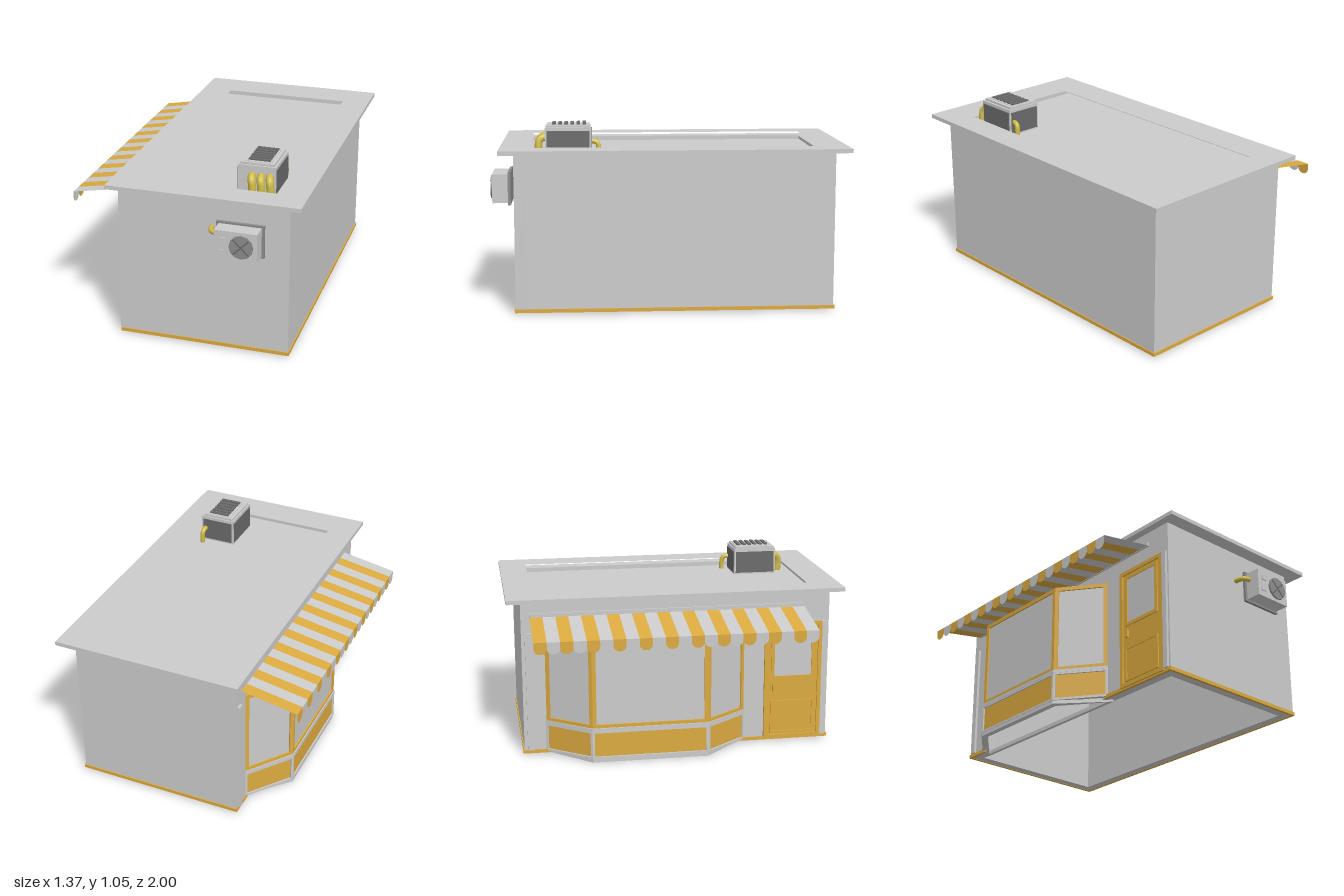
import * as THREE from 'three';

const mat = (color, side = THREE.FrontSide) => new THREE.MeshStandardMaterial({ color, side });
const GREY = mat(0xcccccc), DARK = mat(0x6a6a6a), MID = mat(0x8c8c8c);
const OCHRE = mat(0xdcaa40), BRASS = mat(0xd0bc45);

function add(parent, name, geo, material) {
  const m = new THREE.Mesh(geo, material);
  m.name = name;
  parent.add(m);
  return m;
}

// box given by its limits on each axis
function box(parent, name, material, x0, x1, y0, y1, z0, z1) {
  const m = add(parent, name, new THREE.BoxGeometry(x1 - x0, y1 - y0, z1 - z0), material);
  m.position.set((x0 + x1) / 2, (y0 + y1) / 2, (z0 + z1) / 2);
  return m;
}

const loop = (pts) => pts.map(([x, y]) => new THREE.Vector2(x, y));
const rect = (x0, x1, y0, y1) => [[x0, y0], [x1, y0], [x1, y1], [x0, y1]];

function extrude(outline, holes, depth) {
  const shape = new THREE.Shape(loop(outline));
  for (const h of holes) shape.holes.push(new THREE.Path(loop(h)));
  return new THREE.ExtrudeGeometry(shape, { depth, bevelEnabled: false });
}

// floor-plan outline of [x, z] points raised from y0 to y1
function plan(parent, name, material, outline, holes, y0, y1) {
  const flip = (pts) => pts.map(([x, z]) => [x, -z]);
  const geo = extrude(flip(outline), holes.map(flip), y1 - y0);
  geo.rotateX(-Math.PI / 2);
  return add(parent, name, geo.translate(0, y0, 0), material);
}

// framed panel standing between two plan points, facing outward
function framedPanel(parent, name, p, q, y0, y1, border, depth, frameMat, fillMat) {
  const dx = q[0] - p[0], dz = q[1] - p[1], w = Math.hypot(dx, dz);
  const g = new THREE.Group();
  g.name = name;
  g.position.set(p[0], 0, p[1]);
  g.rotation.y = Math.atan2(-dz, dx);
  const b = border;
  add(g, name + 'Frame', extrude(rect(0, w, y0, y1), [rect(b, w - b, y0 + b, y1 - b)], depth), frameMat)
    .position.z = -depth;
  box(g, name + 'Infill', fillMat, b, w - b, y0 + b, y1 - b, -depth * 0.8, -depth * 0.45);
  parent.add(g);
  return g;
}

function pipe(parent, name, pts, r) {
  const curve = new THREE.CatmullRomCurve3(pts.map((p) => new THREE.Vector3(...p)));
  return add(parent, name, new THREE.TubeGeometry(curve, 16, r, 12, false), mat(0xd0bc45, THREE.DoubleSide));
}

function buildBody(root) {
  const g = new THREE.Group();
  g.name = 'building';
  root.add(g);
  const t = 0.06, x0 = -0.355, x1 = 0.605, z0 = -0.92, z1 = 0.86;
  box(g, 'frontWall', GREY, x0, x1, 0.012, 0.9, z1 - t, z1);
  box(g, 'backWall', GREY, x0, x1, 0.012, 0.9, z0, z0 + t);
  box(g, 'plainSideWall', GREY, x1 - t, x1, 0.012, 0.9, z0 + t, z1 - t);
  // shop side wall, cut away behind the bay window
  const shopWall = [[z0 + t, 0.012], [-0.75, 0.012], [-0.75, 0.7], [0.32, 0.7], [0.32, 0.012],
    [z1 - t, 0.012], [z1 - t, 0.9], [z0 + t, 0.9]];
  const w = add(g, 'shopWall', extrude(shopWall, [], t), GREY);
  w.rotation.y = -Math.PI / 2;
  w.position.x = x0 + t;
  // skirting, interrupted at the bay
  const e = 0.006;
  box(g, 'frontSkirting', OCHRE, x0 - e, x1 + e, 0.01, 0.03, z1 - 0.01, z1 + e);
  box(g, 'backSkirting', OCHRE, x0 - e, x1 + e, 0.01, 0.03, z0 - e, z0 + 0.01);
  box(g, 'sideSkirting', OCHRE, x1 - 0.01, x1 + e, 0.01, 0.03, z0, z1);
  for (const [a, b] of [[z0, -0.77], [0.34, z1]])
    box(g, 'shopSkirting', OCHRE, x0 - e, x0 + 0.01, 0.01, 0.03, a, b);
  // overhanging roof rim around a sunken deck
  const well = rect(-0.24, 0.52, -0.84, 0.78);
  plan(g, 'roofRim', GREY, rect(-0.4, 0.68, -1, 0.94), [well], 0.9, 0.923);
  plan(g, 'parapetLining', GREY, rect(x0 + 0.02, x1 - 0.02, z0 + 0.02, z1 - 0.02), [well], 0.86, 0.901);
  box(g, 'roofDeck', GREY, x0 + 0.03, x1 - 0.03, 0.85, 0.87, z0 + 0.03, z1 - 0.03);
}

function buildShopfront(root) {
  const g = new THREE.Group();
  g.name = 'shopfront';
  root.add(g);
  const bay = (out, wall = -0.355) => [
    [wall, -0.79 - out], [-0.54 - out, -0.545 - out * 0.5], [-0.54 - out, 0.115 + out * 0.5], [wall, 0.36 + out]];
  const inner = bay(-0.03, -0.33);
  plan(g, 'bayPlinth', GREY, bay(0), [], 0.0, 0.001).visible = false;
  plan(g, 'bayPlinthRing', GREY, bay(0.002, -0.31), [inner], 0, 0.022);
  plan(g, 'baySill', GREY, bay(0.006), [bay(-0.03, -0.36)], 0.185, 0.203);
  plan(g, 'bayTop', OCHRE, bay(0), [], 0.712, 0.723);
  const low = bay(0.005), up = bay(0);
  for (let i = 0; i < 3; i++) {
    framedPanel(g, 'stallRiser', low[i], low[i + 1], 0.02, 0.187, 0.013, 0.02, GREY, OCHRE);
    framedPanel(g, 'bayWindow', up[i], up[i + 1], 0.2, 0.722, 0.022, 0.02, OCHRE, GREY);
  }
  // pilasters at both ends and beside the door
  for (const [a, b] of [[-0.9, -0.865], [0.82, 0.85]])
    box(g, 'pilaster', GREY, -0.37, -0.35, 0.03, 0.723, a, b);
  // door with glazed top, lower panel and handle
  const x = -0.37;
  framedPanel(g, 'doorCase', [x, 0.48], [x, 0.82], 0.02, 0.723, 0.022, 0.02, OCHRE, OCHRE);
  framedPanel(g, 'doorLowerPanel', [x + 0.002, 0.52], [x + 0.002, 0.78], 0.05, 0.25, 0.012, 0.012, OCHRE, OCHRE);
  framedPanel(g, 'doorGlass', [x + 0.002, 0.52], [x + 0.002, 0.78], 0.38, 0.69, 0.02, 0.012, OCHRE, GREY);
  box(g, 'doorHandle', OCHRE, x - 0.006, x + 0.01, 0.31, 0.355, 0.53, 0.545);
}

function buildAwning(root) {
  const g = new THREE.Group();
  g.name = 'awning';
  root.add(g);
  const n = 22, z0 = -0.87, w = 1.58 / n;
  const xi = -0.357, yi = 0.816, xo = -0.685, yo = 0.757;
  const cloth = [mat(0xdcaa40, THREE.DoubleSide), mat(0xcccccc, THREE.DoubleSide)];
  const len = Math.hypot(xo - xi, yo - yi);
  // valance flap: straight sides with a rounded lower end
  const flap = new THREE.Shape();
  flap.moveTo(-w / 2, 0);
  flap.lineTo(-w / 2, -0.035);
  flap.absellipse(0, -0.035, w / 2, 0.033, Math.PI, Math.PI * 2, false);
  flap.lineTo(w / 2, 0);
  const flapGeo = new THREE.ShapeGeometry(flap, 8).rotateY(-Math.PI / 2);
  const stripGeo = new THREE.PlaneGeometry(len, w).rotateX(-Math.PI / 2)
    .rotateZ(Math.atan2(yi - yo, xi - xo));
  for (let i = 0; i < n; i++) {
    const z = z0 + w * (i + 0.5);
    add(g, 'awningStripe', stripGeo, cloth[i % 2]).position.set((xi + xo) / 2, (yi + yo) / 2, z);
    add(g, 'awningFlap', flapGeo, cloth[i % 2]).position.set(xo, yo, z);
  }
  box(g, 'awningRail', GREY, -0.365, -0.352, 0.812, 0.836, z0, z0 + 1.58);
}

function buildRoofUnit(root) {
  const g = new THREE.Group();
  g.name = 'roofVentUnit';
  root.add(g);
  box(g, 'casing', GREY, 0.268, 0.478, 0.87, 1.028, 0.432, 0.69);
  box(g, 'sidePanel', DARK, 0.264, 0.482, 0.88, 1.01, 0.442, 0.68);
  box(g, 'backPanel', DARK, 0.278, 0.468, 0.88, 1.01, 0.428, 0.5);
  box(g, 'lid', GREY, 0.277, 0.465, 1.028, 1.04, 0.44, 0.68);
  box(g, 'grilleBase', GREY, 0.3, 0.445, 1.038, 1.043, 0.45, 0.665);
  for (let i = 0; i < 6; i++) {
    const z = 0.47 + i * 0.034;
    box(g, 'slat', DARK, 0.315, 0.435, 1.04, 1.051, z - 0.01, z + 0.01);
  }
  for (const x of [0.345, 0.395, 0.445])
    pipe(g, 'frontPipe', [[x, 0.97, 0.67], [x + 0.002, 0.972, 0.7], [x + 0.008, 0.955, 0.722],
      [x + 0.013, 0.92, 0.727], [x + 0.014, 0.865, 0.727]], 0.021);
  pipe(g, 'backPipe', [[0.45, 0.95, 0.45], [0.452, 0.95, 0.415], [0.455, 0.938, 0.396],
    [0.457, 0.91, 0.391], [0.457, 0.865, 0.391]], 0.014);
}

function buildWallUnit(root) {
  const g = new THREE.Group();
  g.name = 'wallAirConditioner';
  root.add(g);
  box(g, 'backPlate', MID, 0.212, 0.476, 0.595, 0.78, 0.884, 0.9);
  box(g, 'casing', GREY, 0.226, 0.462, 0.606, 0.769, 0.895, 0.988);
  const fan = add(g, 'fan', new THREE.CylinderGeometry(0.066, 0.066, 0.014, 12), MID);
  fan.rotation.x = Math.PI / 2;
  fan.position.set(0.376, 0.688, 0.991);
  for (const s of [-1, 1]) {
    const bar = add(g, 'fanGuardBar', new THREE.BoxGeometry(0.12, 0.008, 0.004), DARK);
    bar.position.set(0.376, 0.688, 0.998);
    bar.rotation.z = s * Math.PI / 4;
  }
  box(g, 'upperSwitch', GREY, 0.255, 0.292, 0.71, 0.733, 0.98, 0.994);
  box(g, 'lowerSwitch', GREY, 0.248, 0.281, 0.64, 0.663, 0.98, 0.994);
  pipe(g, 'wallPipe', [[0.178, 0.722, 0.85], [0.178, 0.722, 0.88], [0.19, 0.722, 0.91],
    [0.21, 0.722, 0.92], [0.235, 0.722, 0.92]], 0.014);
}

export function createModel() {
  const root = new THREE.Group();
  root.name = 'cornerShop';
  buildBody(root);
  buildShopfront(root);
  buildAwning(root);
  buildRoofUnit(root);
  buildWallUnit(root);
  // remove hidden helpers
  root.getObjectByName('bayPlinth').removeFromParent();
  return root;
}
